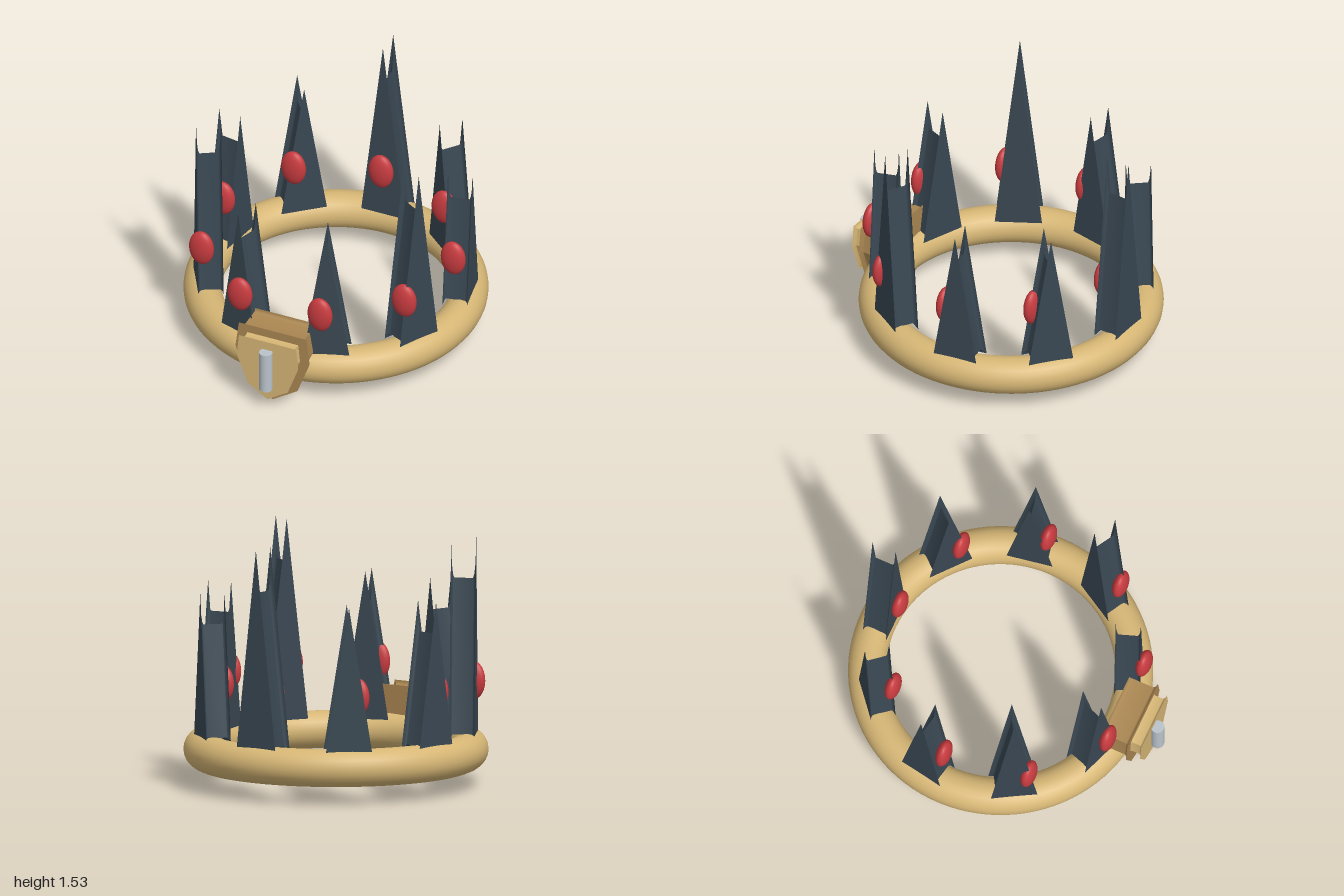
import * as THREE from 'three';
import { toCreasedNormals } from 'three/addons/utils/BufferGeometryUtils.js';

const paint = (name, color) => {
  const m = new THREE.MeshStandardMaterial({ color });
  m.name = name;
  return m;
};

// Offsets a counter-clockwise convex outline inward by d, with full mitres
function inset(outline, d) {
  const n = outline.length;
  const normal = (a, b) => {
    const dx = b[0] - a[0], dy = b[1] - a[1], l = Math.hypot(dx, dy);
    return [dy / l, -dx / l];
  };
  return outline.map((p, i) => {
    const u = normal(outline[(i + n - 1) % n], p);
    const v = normal(p, outline[(i + 1) % n]);
    const k = d / (1 + u[0] * v[0] + u[1] * v[1]);
    return [p[0] - (u[0] + v[0]) * k, p[1] - (u[1] + v[1]) * k];
  });
}

// Prism along z whose two ends flare out in a concave curve to the full outline
function flaredPrism(outline, depth, flare, lip) {
  const steps = 4, half = depth / 2, n = outline.length;
  const front = [];
  for (let i = 0; i <= steps; i++) {
    const t = (i / steps) * Math.PI / 2;
    const z = half - lip + lip * Math.cos(t);
    front.push(inset(outline, flare * Math.sin(t)).map(([x, y]) => [x, y, z]));
  }
  const back = front.map((ring) => ring.map(([x, y, z]) => [x, y, -z]));
  const rings = [...back, ...front.reverse()];
  const pos = [];
  const tri = (a, b, c) => pos.push(...a, ...b, ...c);
  for (let k = 0; k < rings.length - 1; k++) {
    for (let i = 0; i < n; i++) {
      const j = (i + 1) % n, r = rings[k], s = rings[k + 1];
      tri(r[i], r[j], s[j]);
      tri(r[i], s[j], s[i]);
    }
  }
  const first = rings[0], last = rings[rings.length - 1];
  for (let i = 1; i < n - 1; i++) {
    tri(first[0], first[i + 1], first[i]);
    tri(last[0], last[i], last[i + 1]);
  }
  const g = new THREE.BufferGeometry();
  g.setAttribute('position', new THREE.Float32BufferAttribute(pos, 3));
  return toCreasedNormals(g, 0.42);
}

// Mirrors the right-hand half of an outline, listed bottom to top
const mirrored = (half) => [
  ...half,
  ...half.filter((p) => p[0] > 0).reverse().map(([x, y]) => [-x, y]),
];

export function createModel() {
  const gold = paint('gold', 0xd6b675);
  const bronze = paint('bronze', 0xab8752);
  const slate = paint('slate', 0x394752);
  const red = paint('red', 0xc63b3f);
  const silver = paint('silver', 0xb9c3ca);

  const model = new THREE.Group();
  const add = (name, geometry, material, x, y, z) => {
    const mesh = new THREE.Mesh(geometry, material);
    mesh.name = name;
    mesh.position.set(x, y, z);
    model.add(mesh);
    return mesh;
  };

  // Round band
  const centreZ = -0.08;
  const band = new THREE.TorusGeometry(0.805, 0.115, 24, 96).rotateX(Math.PI / 2);
  add('band', band, gold, 0, 0.23, centreZ);

  // Nine spikes, every third one tall, each with an oval gem facing forward
  const spike = (top) =>
    flaredPrism([[-0.143, 0.31], [0.143, 0.31], [0, top]], 0.152, 0.03, 0.02);
  const tall = spike(1.54), short = spike(1.21);
  const gem = new THREE.SphereGeometry(1, 32, 20).scale(0.08, 0.116, 0.045);
  for (let i = 0; i < 9; i++) {
    const a = Math.PI - (i * 2 * Math.PI) / 9;
    const x = 0.772 * Math.sin(a), z = centreZ + 0.772 * Math.cos(a);
    add('spike', i % 3 ? short : tall, slate, x, 0, z).rotation.y = a;
    add('gem', gem, red, x, 0.645, z + 0.105);
  }

  // Layered shield with a silver bar at the front
  const backing = mirrored([[0, 0.01], [0.165, 0.12], [0.245, 0.34], [0.222, 0.517]]);
  add('shieldBacking', flaredPrism(backing, 0.175, 0.028, 0.025), bronze, 0, 0, 0.773);
  const face = mirrored([[0, 0.06], [0.133, 0.148], [0.203, 0.34], [0.188, 0.482]]);
  add('shieldFace', flaredPrism(face, 0.085, 0.025, 0.02), gold, 0, 0, 0.893);
  add('shieldBar', new THREE.CylinderGeometry(0.041, 0.041, 0.27, 32), silver, 0, 0.29, 0.959);

  return model;
}
